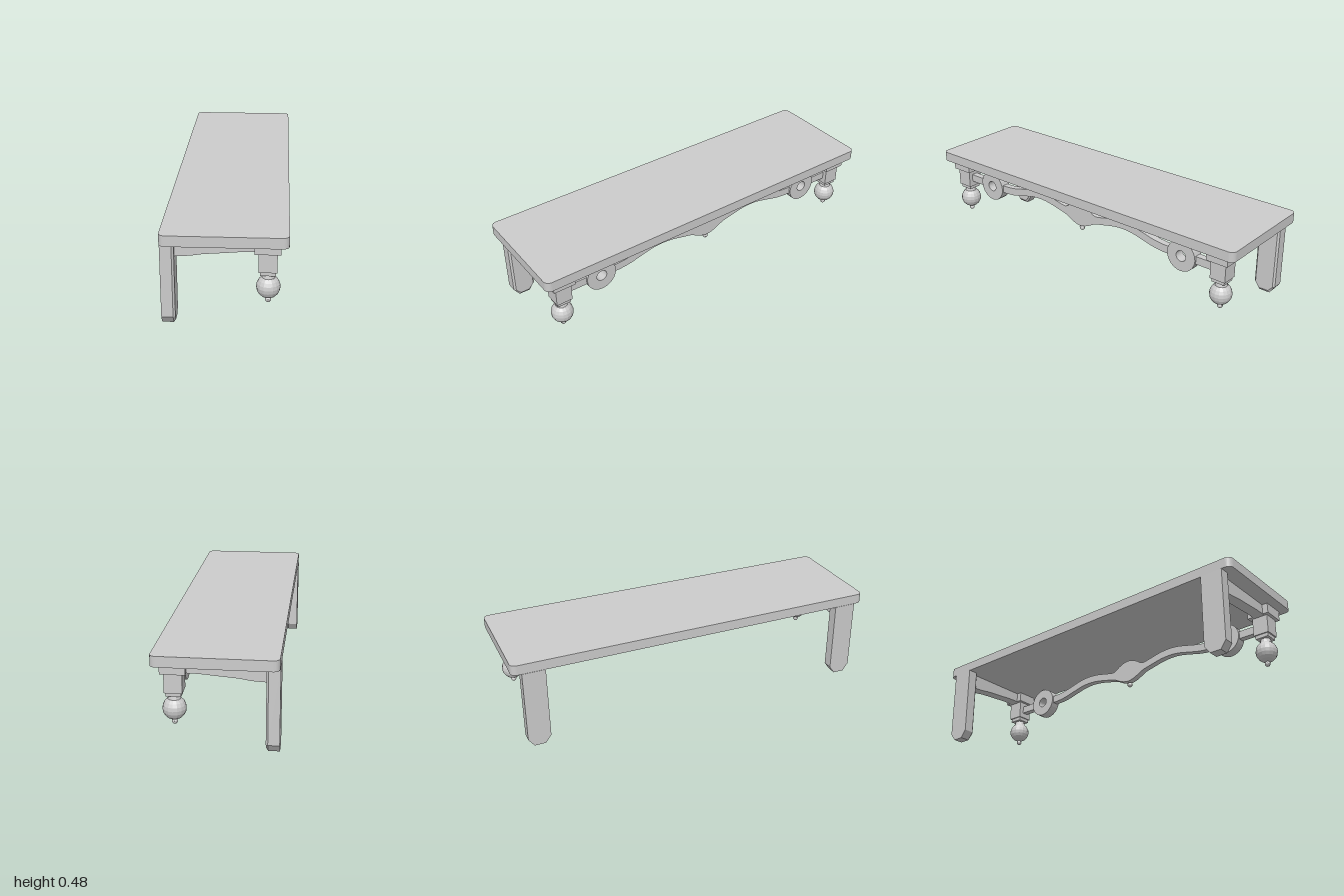
import * as THREE from 'three';

const mat = new THREE.MeshStandardMaterial({ color: 0xcccccc, flatShading: true });

export function createModel() {
  const root = new THREE.Group();
  const add = (name, geo, x = 0, y = 0, z = 0) => {
    const m = new THREE.Mesh(geo, mat);
    m.name = name;
    m.position.set(x, y, z);
    root.add(m);
    return m;
  };
  const box = (name, x0, x1, y0, y1, z, w) =>
    add(name, new THREE.BoxGeometry(x1 - x0, y1 - y0, w), (x0 + x1) / 2, (y0 + y1) / 2, z);
  const vecs = (pts) => pts.map(([x, y]) => new THREE.Vector2(x, y));
  const extrude = (shape, depth, opts = {}) =>
    new THREE.ExtrudeGeometry(shape, { depth, bevelEnabled: false, ...opts });
  // Profile drawn in z and y, extruded along x and centred on it
  const sideways = (shape, depth) => extrude(shape, depth).translate(0, 0, -depth / 2).rotateY(Math.PI / 2);

  // Top board with rounded corners
  const X = 0.293, Z = 1, R = 0.03;
  const board = new THREE.Shape();
  board.moveTo(-X + R, -Z);
  board.lineTo(X - R, -Z).absarc(X - R, -Z + R, R, -Math.PI / 2, 0);
  board.absarc(X - R, Z - R, R, 0, Math.PI / 2);
  board.absarc(-X + R, Z - R, R, Math.PI / 2, Math.PI);
  board.absarc(-X + R, -Z + R, R, Math.PI, Math.PI * 1.5);
  add('topBoard', extrude(board, 0.053, { curveSegments: 4 }).rotateX(-Math.PI / 2), 0, 0.424, 0);

  // Back leg: clipped foot and chamfered inner edges
  const legShape = new THREE.Shape(vecs([[-0.06, 0.425], [-0.06, 0.042], [-0.03, 0], [0.03, 0], [0.06, 0.042], [0.06, 0.425]]));
  const legGeo = extrude(legShape, 0.065, { steps: 2 });
  const p = legGeo.attributes.position;
  for (let i = 0; i < p.count; i++) {
    if (p.getZ(i) > 0.06) {
      p.setX(i, p.getX(i) * 0.84);
      if (p.getY(i) < 0.01) p.setY(i, 0.014);
    } else if (p.getZ(i) > 0.01) p.setZ(i, 0.055);
  }
  legGeo.computeVertexNormals();
  legGeo.rotateY(Math.PI / 2);

  // Side bracket with a curved lower edge
  const bracket = new THREE.Shape();
  bracket.moveTo(0.15, 0.425);
  bracket.lineTo(-0.24, 0.425).lineTo(-0.23, 0.342);
  bracket.splineThru(vecs([[-0.16, 0.346], [-0.1, 0.355], [0, 0.363], [0.07, 0.369], [0.15, 0.371]]));
  const bracketGeo = extrude(bracket, 0.06, { curveSegments: 3 }).translate(0, 0, -0.03);

  // Ring with a through hole
  const ring = new THREE.Shape().absarc(0, 0, 0.083, 0, Math.PI * 2);
  ring.holes.push(new THREE.Path().absarc(0, 0, 0.029, 0, Math.PI * 2, true));
  const ringGeo = sideways(ring, 0.056);

  const px = 0.2;
  for (const s of [-1, 1]) {
    const z = s * 0.89;
    add('backLeg', legGeo, -0.295, 0, z);
    add('sideBracket', bracketGeo, 0, 0, z);
    box('postCap', 0.137, 0.257, 0.371, 0.425, z, 0.12);
    box('post', 0.155, 0.241, 0.273, 0.372, z, 0.086);
    box('postNeck', 0.162, 0.234, 0.254, 0.274, z, 0.072);
    add('ballCollar', new THREE.CylinderGeometry(0.025, 0.034, 0.034, 14), px, 0.239, z);
    add('ball', new THREE.SphereGeometry(0.057, 16, 10), px, 0.186, z);
    add('ballTip', new THREE.SphereGeometry(0.0145, 12, 8), px, 0.118, z);
    add('railRing', ringGeo, px, 0.324, s * 0.667);
    box('railEnd', px - 0.018, px + 0.018, 0.303, 0.345, s * 0.795, 0.12);
  }

  // Wavy front rail swelling at its middle
  const half = [[0.6, 0.325, 0.021], [0.55, 0.326, 0.021], [0.49, 0.333, 0.021], [0.42, 0.35, 0.021],
    [0.35, 0.366, 0.021], [0.29, 0.37, 0.021], [0.23, 0.365, 0.021], [0.16, 0.35, 0.021],
    [0.105, 0.339, 0.023], [0.07, 0.34, 0.042], [0.035, 0.341, 0.058]];
  const line = [...half, [0, 0.341, 0.064], ...half.map(([z, y, t]) => [-z, y, t]).reverse()];
  const top = new THREE.SplineCurve(vecs(line.map(([z, y, t]) => [z, y + t]))).getPoints(66);
  const low = new THREE.SplineCurve(vecs(line.map(([z, y, t]) => [z, y - t]))).getPoints(66);
  add('frontRail', sideways(new THREE.Shape([...top, ...low.reverse()]), 0.036), px, 0, 0);
  add('railDrop', new THREE.SphereGeometry(0.0145, 12, 8), px, 0.26, 0);

  return root;
}
